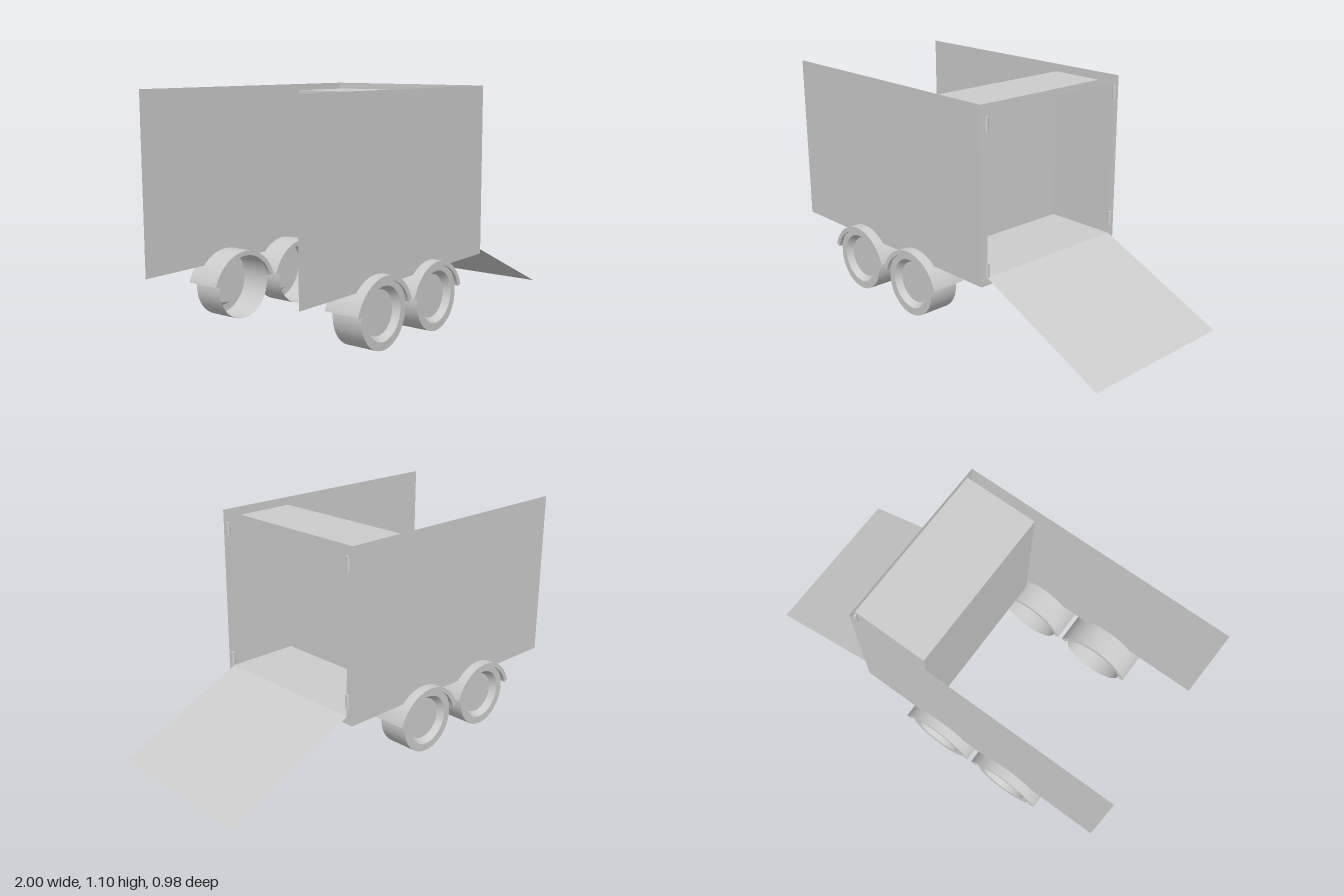
import * as THREE from 'three';

const material = new THREE.MeshStandardMaterial({ color: 0xcccccc, side: THREE.DoubleSide });

function add(parent, name, geometry, x = 0, y = 0, z = 0) {
  const mesh = new THREE.Mesh(geometry, material);
  mesh.name = name;
  mesh.position.set(x, y, z);
  parent.add(mesh);
  return mesh;
}

// Thin rectangular sheet: rotated by rx, then ry about its centre
function sheet(w, h, rx = 0, ry = 0) {
  return new THREE.PlaneGeometry(w, h).rotateX(rx).rotateY(ry);
}

// Hollow wheel, open on the inner side, with a dished rim and a flat hub
function wheelGeometry() {
  const profile = [
    [0.157, -0.075], [0.157, 0.075],
    [0.157, 0.075], [0.12, 0.075],
    [0.12, 0.075], [0.1, 0.045],
    [0.1, 0.045], [0, 0.045],
  ];
  const parts = new THREE.Group();
  for (let i = 0; i < profile.length; i += 2) {
    const points = [profile[i], profile[i + 1]].map(([r, h]) => new THREE.Vector2(r, h));
    add(parts, ['tyreTread', 'tyreSidewall', 'rimDish', 'hub'][i / 2],
      new THREE.LatheGeometry(points, 48).rotateX(Math.PI / 2));
  }
  return parts;
}

// Curved mudguard, a band of an arc wider than the wheel
function fenderGeometry() {
  const a = 0.31, b = Math.PI - a, shape = new THREE.Shape();
  shape.absarc(0, 0, 0.2, a, b, false);
  shape.absarc(0, 0, 0.178, b, a, true);
  shape.closePath();
  return new THREE.ExtrudeGeometry(shape, { depth: 0.174, bevelEnabled: false, curveSegments: 24 });
}

export function createModel() {
  const model = new THREE.Group();
  model.name = 'cargoTrailer';

  const rear = 0.353, inner = -0.02;           // x limits of the inner compartment
  const floorY = 0.315, ceilingY = 1.07;
  const zMin = -0.408, zMax = 0.402;
  const depth = rear - inner, height = ceilingY - floorY, width = zMax - zMin;
  const midX = (rear + inner) / 2, midY = (floorY + ceilingY) / 2, midZ = (zMin + zMax) / 2;

  // Long outer side panels
  for (const [name, z] of [['leftSidePanel', 0.437], ['rightSidePanel', -0.442]]) {
    add(model, name, sheet(1 + rear, 0.82), (rear - 1) / 2, 0.69, z);
  }

  // Flat frame around the door opening
  const frame = new THREE.Shape([[-0.437, 0.28], [0.442, 0.28], [0.442, 1.1], [-0.437, 1.1]]
    .map(p => new THREE.Vector2(...p)));
  frame.holes.push(new THREE.Path([[-zMax, floorY], [-zMax, ceilingY], [-zMin, ceilingY], [-zMin, floorY]]
    .map(p => new THREE.Vector2(...p))));
  add(model, 'doorFrame', new THREE.ShapeGeometry(frame).rotateY(Math.PI / 2), rear, 0, 0);

  // Inner compartment, open at the door
  add(model, 'floor', sheet(depth, width, -Math.PI / 2), midX, floorY, midZ);
  add(model, 'ceiling', sheet(depth, width, -Math.PI / 2), midX, ceilingY, midZ);
  add(model, 'bulkhead', sheet(width, height, 0, Math.PI / 2), inner, midY, midZ);
  add(model, 'leftInnerWall', sheet(depth, height), midX, midY, zMax);
  add(model, 'rightInnerWall', sheet(depth, height), midX, midY, zMin);

  // Lowered loading ramp
  const run = 1 - rear, drop = floorY - 0.018;
  const ramp = add(model, 'ramp', sheet(Math.hypot(run, drop), width, -Math.PI / 2),
    rear + run / 2, floorY - drop / 2, midZ);
  ramp.rotation.z = -Math.atan2(drop, run);

  // Door hinges
  for (const [y, z] of [[1.012, 0.404], [0.352, 0.404], [1.02, -0.416], [0.392, -0.416]]) {
    add(model, 'hinge', new THREE.CylinderGeometry(0.01, 0.01, 0.066, 20), rear, y, z);
  }

  // Tandem wheels with mudguards on both sides
  for (const side of [1, -1]) {
    const shift = side > 0 ? 0 : 0.006;
    for (const [x, y] of [[-0.507, 0.17], [-0.104, 0.162]]) {
      const unit = new THREE.Group();
      unit.name = side > 0 ? 'leftWheelUnit' : 'rightWheelUnit';
      unit.position.set(x - shift, y + shift, 0);
      const wheel = wheelGeometry();
      wheel.name = 'wheel';
      wheel.position.z = side * 0.403;
      if (side < 0) wheel.rotation.y = Math.PI;
      unit.add(wheel);
      add(unit, 'fender', fenderGeometry(), 0, -0.035, side > 0 ? 0.314 : -0.491);
      model.add(unit);
    }
  }
  return model;
}
